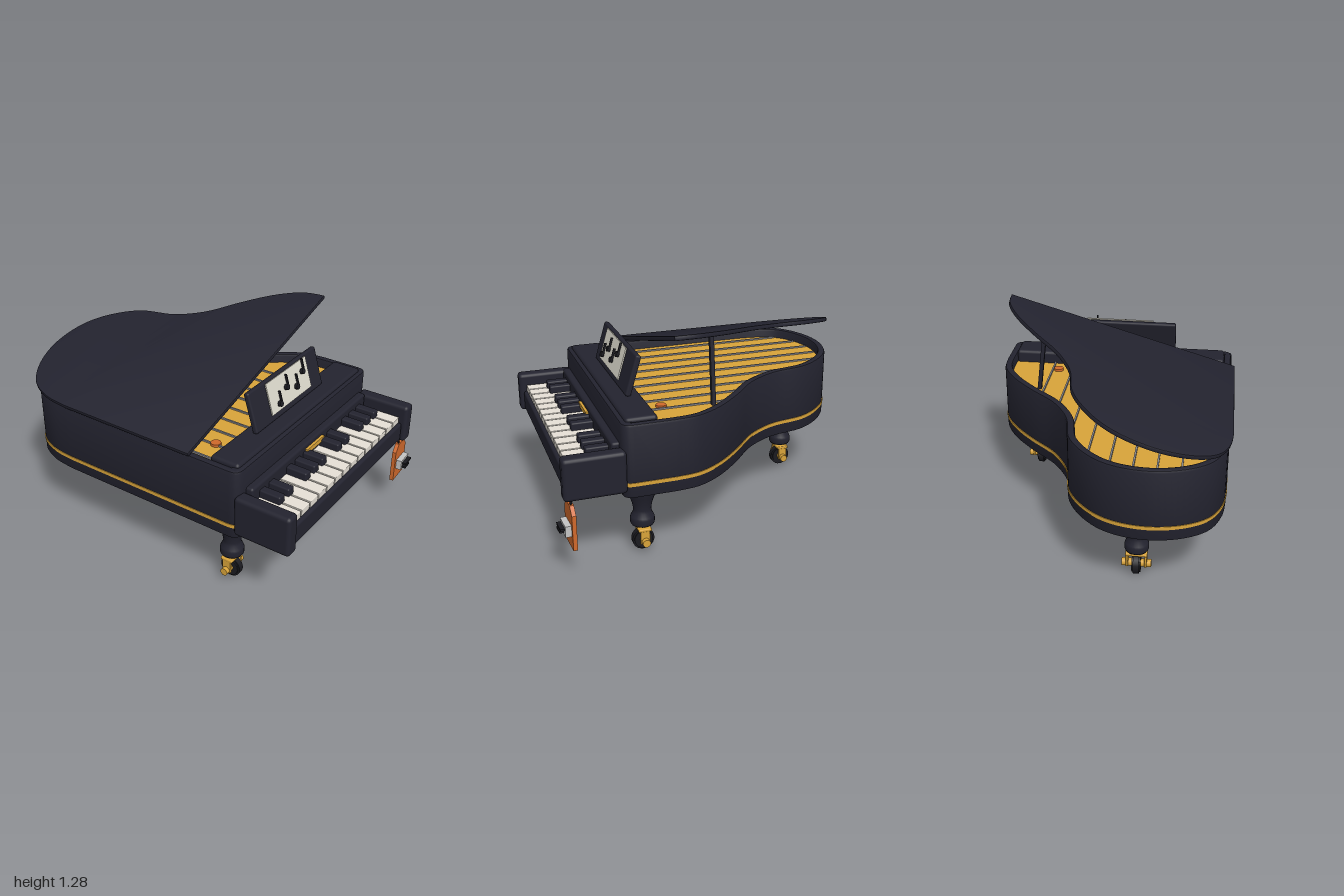
import * as THREE from 'three';
import { toCreasedNormals } from 'three/addons/utils/BufferGeometryUtils.js';
import { RoundedBoxGeometry } from 'three/addons/geometries/RoundedBoxGeometry.js';

const mat = (name, color) => Object.assign(new THREE.MeshStandardMaterial({ color }), { name });
const V2 = (x, y) => new THREE.Vector2(x, y);
const CX = -0.01; // centre line of the instrument

export function createModel() {
  const black = mat('black lacquer', 0x23232f);
  const rubber = mat('rubber', 0x1b1b20);
  const gold = mat('brass', 0xd9a43a);
  const ivory = mat('ivory', 0xe6e0d6);
  const paper = mat('paper', 0xdedbce);
  const steel = mat('steel', 0x85868c);
  const orange = mat('orange', 0xd0692b);
  const labelGrey = mat('label grey', 0xc4c4c4);

  const root = new THREE.Group();
  root.name = 'grandPiano';

  const add = (name, geo, material, x = 0, y = 0, z = 0, parent = root) => {
    const m = new THREE.Mesh(geo, material);
    m.name = name;
    m.position.set(x, y, z);
    parent.add(m);
    return m;
  };
  const group = (name, x, y, z, parent = root) => {
    const g = new THREE.Group();
    g.name = name;
    g.position.set(x, y, z);
    parent.add(g);
    return g;
  };
  // box given by its limits, with softened edges when r > 0
  const block = (name, material, [x0, x1], [y0, y1], [z0, z1], r = 0, parent = root) => {
    const s = [x1 - x0, y1 - y0, z1 - z0];
    const geo = r ? new RoundedBoxGeometry(...s, 2, r) : new THREE.BoxGeometry(...s);
    return add(name, geo, material, (x0 + x1) / 2, (y0 + y1) / 2, (z0 + z1) / 2, parent);
  };

  // Case outline seen from above: shape y is -z
  const plan = new THREE.Shape();
  plan.moveTo(-0.67, -0.64);
  plan.lineTo(0.65, -0.64);
  plan.quadraticCurveTo(0.71, -0.64, 0.71, -0.58);
  plan.lineTo(0.71, -0.34);
  plan.splineThru([[0.69, -0.2], [0.605, -0.05], [0.465, 0.105], [0.32, 0.24], [0.235, 0.36], [0.185, 0.475],
    [0.14, 0.68], [0.02, 0.85], [-0.13, 0.95], [-0.32, 0.985], [-0.5, 0.95], [-0.64, 0.86], [-0.71, 0.72],
    [-0.73, 0.56]].map(p => V2(...p)));
  plan.lineTo(-0.73, -0.58);
  plan.quadraticCurveTo(-0.73, -0.64, -0.67, -0.64);
  const base = plan.getPoints(5).filter((p, i, a) => p.distanceTo(a[(i + 1) % a.length]) > 1e-4);
  // outline moved outward by d
  const outline = d => base.map((p, i) => {
    const t = base[(i + 1) % base.length].clone().sub(base[(i + base.length - 1) % base.length]).normalize();
    return V2(p.x + t.y * d, p.y - t.x * d);
  });
  // horizontal slab from y0 to y1
  const slab = (pts, y0, y1, bevel = 0, hole = null) => {
    const shape = new THREE.Shape(pts);
    if (hole) shape.holes.push(new THREE.Path(hole));
    const geo = new THREE.ExtrudeGeometry(shape, {
      depth: y1 - y0 - 2 * bevel, bevelEnabled: bevel > 0, bevelSize: bevel,
      bevelThickness: bevel, bevelOffset: -bevel, bevelSegments: 2,
    });
    geo.rotateX(-Math.PI / 2).translate(0, y0 + bevel, 0);
    return toCreasedNormals(geo, 0.6);
  };

  // Case
  const inner = outline(-0.045);
  add('caseRim', slab(base, 0.41, 0.84, 0.015, inner), black);
  add('caseFloor', slab(outline(-0.03), 0.412, 0.774), black);
  add('trimBand', slab(outline(0.004), 0.483, 0.504), gold);
  add('soundboard', slab(outline(-0.044), 0.774, 0.78), gold);
  block('frontDeck', black, [-0.685, 0.665], [0.76, 0.858], [0.43, 0.612], 0.02);

  // Strings run from the deck to the back of the rim
  const backAt = x => {
    let best = 0;
    inner.forEach((a, i) => {
      const b = inner[(i + 1) % inner.length];
      if ((a.x - x) * (b.x - x) < 0) best = Math.max(best, a.y + (b.y - a.y) * (x - a.x) / (b.x - a.x));
      if ((a.x - x) * (b.x - x) < 0 && x > 0.16) best = a.y > -0.5 ? a.y : best;
    });
    return -best;
  };
  for (let i = 0; i < 9; i++) {
    const x = -0.615 + i * 0.128;
    block('string', steel, [x - 0.005, x + 0.005], [0.78, 0.79], [backAt(x) + 0.01, 0.43]);
  }
  for (const x of [-0.48, 0.37])
    add('soundboardStud', new THREE.CylinderGeometry(0.03, 0.03, 0.015, 20), orange, x, 0.788, 0.325);

  // Raised lid, hinged on the left
  const lidPts = [V2(-0.745, -0.335), V2(0.725, -0.335), ...outline(0.015).filter(p => p.y > -0.33)];
  const lid = add('lid', slab(lidPts.map(p => V2(p.x + 0.745, p.y)), 0, 0.026, 0.006), black, -0.745, 0.842, 0);
  lid.rotation.z = 0.285;
  const prop = add('lidProp', new THREE.BoxGeometry(0.024, 0.42, 0.024), black, 0.415, 0.982, 0.035);
  prop.rotation.z = 0.115;

  // Keyboard
  block('keybed', black, [-0.655, 0.635], [0.465, 0.588], [0.6, 0.945], 0.015);
  block('fallboard', black, [-0.65, 0.63], [0.58, 0.715], [0.62, 0.682], 0.015);
  for (const s of [-1, 1])
    block('keyboardArm', black, [CX + s * 0.69 - 0.043, CX + s * 0.69 + 0.043], [0.452, 0.696], [0.62, 0.968], 0.022);
  const w = 1.27 / 14;
  for (let k = 0; k < 14; k++) {
    const x = -0.645 + k * w;
    block('whiteKey', ivory, [x + 0.004, x + w - 0.004], [0.588, 0.63], [0.66, 0.925], 0.004);
    if ([1, 2, 4, 5, 6].includes(k % 7) || k === 13)
      block('blackKey', black, [x - 0.027, x + 0.027], [0.61, 0.675], [0.66, 0.808], 0.009);
  }
  const plate = new THREE.Shape([V2(-0.075, 0.658), V2(0.075, 0.658), V2(0.095, 0.672), V2(0.095, 0.687),
    V2(-0.095, 0.687), V2(-0.095, 0.672)]);
  add('fallboardPlate', new THREE.ExtrudeGeometry(plate, { depth: 0.018, bevelEnabled: false }), gold, CX, 0, 0.68);

  // Music desk with a sheet and notes
  const desk = group('musicDesk', CX, 0.855, 0.51);
  desk.rotation.x = -0.29;
  block('deskBoard', black, [-0.36, 0.36], [0, 0.243], [-0.017, 0.017], 0.012, desk);
  block('sheet', paper, [-0.212, 0.212], [0.046, 0.236], [0.027, 0.035], 0, desk);
  const head = new THREE.CylinderGeometry(0.017, 0.017, 0.018, 16).rotateX(Math.PI / 2);
  for (const [x, y] of [[-0.137, 0.088], [-0.045, 0.15], [0.052, 0.113], [0.135, 0.173]]) {
    add('noteHead', head, rubber, x, y, 0.05, desk);
    block('noteStem', rubber, [x + 0.009, x + 0.018], [y, y + 0.073], [0.044, 0.056], 0, desk);
  }

  // Turned legs on brass casters
  const profile = [[0, 0.16], [0.064, 0.16], [0.07, 0.172], [0.07, 0.2], [0.066, 0.212], [0.053, 0.235], [0.051, 0.255],
    [0.058, 0.295], [0.072, 0.335], [0.085, 0.37], [0.095, 0.405], [0.097, 0.42]].map(p => V2(...p));
  const legGeo = new THREE.LatheGeometry(profile, 24);
  const wheel = new THREE.CylinderGeometry(0.064, 0.064, 0.034, 24).rotateZ(Math.PI / 2);
  const tread = new THREE.CylinderGeometry(0.054, 0.054, 0.05, 24).rotateZ(Math.PI / 2);
  const axle = new THREE.CylinderGeometry(0.023, 0.023, 0.17, 16).rotateZ(Math.PI / 2);
  for (const [x, z] of [[-0.56, 0.495], [0.535, 0.495], [-0.245, -0.705]]) {
    const leg = group('leg', x, 0, z);
    add('legPost', legGeo, black, 0, 0, 0, leg);
    add('casterStem', new THREE.CylinderGeometry(0.025, 0.025, 0.03, 12), gold, 0, 0.152, 0, leg);
    block('casterPlate', gold, [-0.063, 0.063], [0.128, 0.146], [-0.038, 0.038], 0.006, leg);
    for (const s of [-1, 1])
      block('casterFork', gold, [s * 0.053 - 0.007, s * 0.053 + 0.007], [0.05, 0.135], [-0.028, 0.028], 0.004, leg);
    add('wheel', wheel, rubber, 0, 0.064, 0, leg);
    add('wheelHub', tread, rubber, 0, 0.064, 0, leg);
    add('axle', axle, gold, 0, 0.066, 0, leg);
  }

  // Pedals
  for (const s of [-1, 1])
    block('pedalRod', black, [CX + s * 0.06 - 0.014, CX + s * 0.06 + 0.014], [0.2, 0.42], [0.47, 0.498]);
  block('pedalBox', black, [CX - 0.105, CX + 0.105], [0.176, 0.226], [0.43, 0.54], 0.016);
  for (const i of [-1, 0, 1])
    block('pedal', gold, [CX + i * 0.055 - 0.014, CX + i * 0.055 + 0.014], [0.176, 0.194], [0.5, 0.598], 0.006);

  // Hanging tag
  const tag = group('tag', 0.672, 0, 0.928);
  tag.rotation.y = 0.05;
  const tagShape = new THREE.Shape([V2(-0.078, 0.18), V2(0.078, 0.18), V2(0.078, 0.385), V2(0.04, 0.43),
    V2(-0.04, 0.43), V2(-0.078, 0.385)]);
  add('tagBoard', new THREE.ExtrudeGeometry(tagShape, { depth: 0.024, bevelEnabled: false }), orange, 0, 0, -0.012, tag);
  add('tagCord', new THREE.TorusGeometry(0.024, 0.006, 8, 20), rubber, 0, 0.438, 0, tag);
  block('tagLabel', labelGrey, [-0.054, 0.06], [0.258, 0.322], [0.01, 0.046], 0, tag);
  block('labelBar', rubber, [-0.04, 0.05], [0.294, 0.306], [0.04, 0.07], 0, tag);
  block('labelBar', rubber, [-0.04, 0.025], [0.27, 0.282], [0.04, 0.07], 0, tag);

  return root;
}
